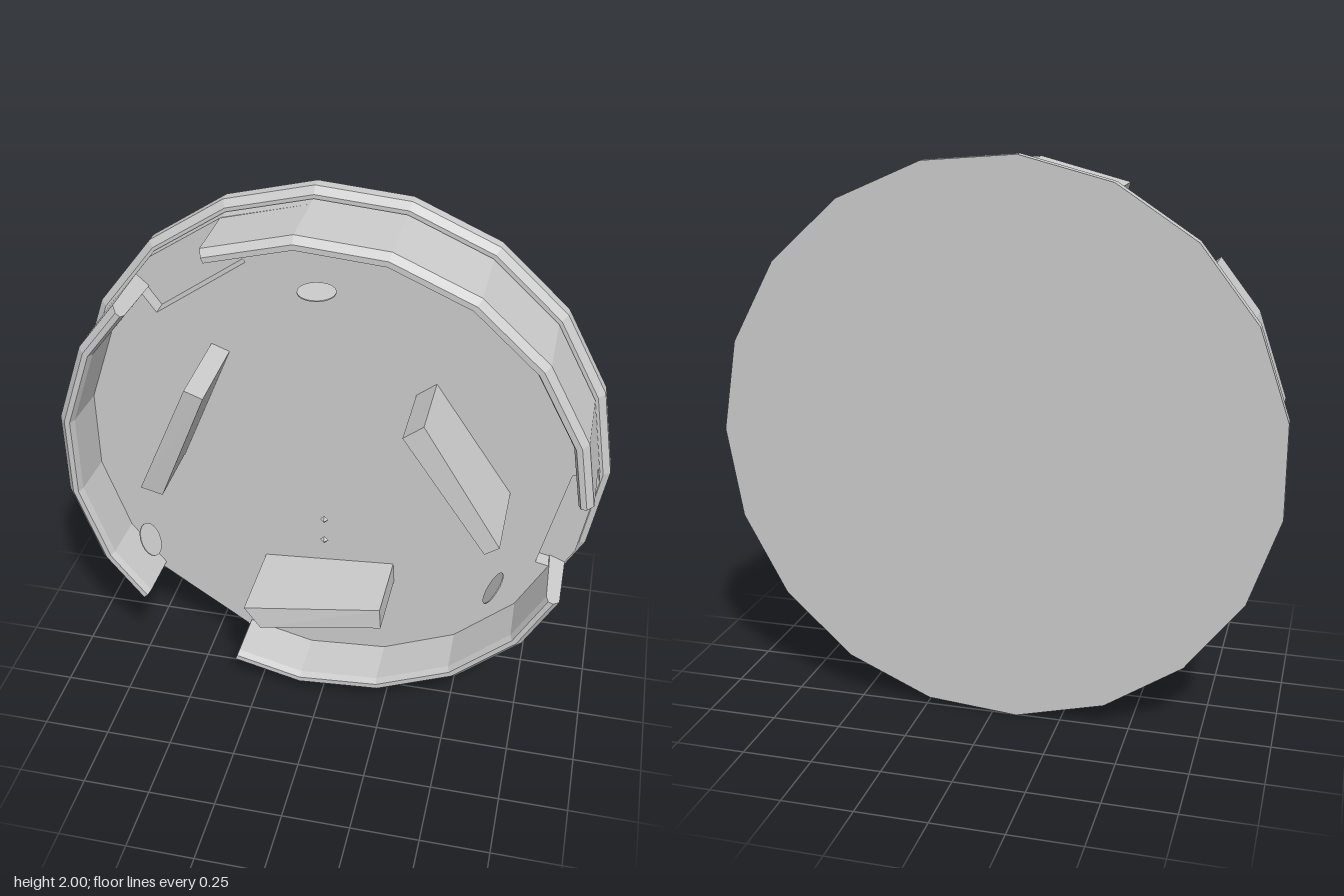
import * as THREE from 'three';
import { ConvexGeometry } from 'three/addons/geometries/ConvexGeometry.js';

const SIDES = 19, STEP = (Math.PI * 2) / SIDES, RAD = Math.PI / 180;
const CX = -0.007, CY = 1;

// Wall arcs in degrees, each followed by the inner corners of the notch after it
const ARCS = [
  { from: 4, to: 114, notch: [[-0.3, 1.76], [-0.63, 1.53]] },
  { from: 138, to: 222, notch: [[-0.68, 0.37], [-0.33, 0.13]] },
  { from: 249, to: 337, notch: [[0.77, 0.655], [0.865, 1.06]] },
];

// Point at an angle on the 19-sided outline
function onRim(r, a) {
  const local = (((a % STEP) + STEP) % STEP) - STEP / 2;
  const d = (r * Math.cos(STEP / 2)) / Math.cos(local);
  return [CX + d * Math.cos(a), CY + d * Math.sin(a)];
}

// Arc ends plus every polygon corner between them
function arcAngles({ from, to }) {
  const angles = [from * RAD];
  for (let k = 0; k < SIDES; k++) {
    if (k * STEP > from * RAD + 0.01 && k * STEP < to * RAD - 0.01) angles.push(k * STEP);
  }
  angles.push(to * RAD);
  return angles;
}

// Solid 19-sided disc from (radius, z) points
function disc(profile) {
  const pts = profile.map(([r, z]) => new THREE.Vector2(r, z));
  const g = new THREE.LatheGeometry(pts, SIDES, Math.PI / 2);
  g.rotateX(Math.PI / 2);
  return g.translate(CX, CY, 0);
}

// Convex wall section swept along an arc and capped
function wallArc(arc) {
  const section = [[0.968, -0.14], [0.968, 0.1], [0.945, 0.125], [0.925, 0.125], [0.915, 0.1], [0.905, -0.14]];
  const n = section.length, pos = [], idx = [];
  const angles = arcAngles(arc);
  for (const a of angles) for (const [r, z] of section) pos.push(...onRim(r, a), z);
  for (let i = 0; i < angles.length - 1; i++) {
    for (let j = 0; j < n; j++) {
      const a = i * n + j, b = i * n + ((j + 1) % n);
      idx.push(a, a + n, b + n, a, b + n, b);
    }
  }
  const last = (angles.length - 1) * n;
  for (let j = 1; j < n - 1; j++) {
    idx.push(0, j, j + 1, last, last + j + 1, last + j);
  }
  const g = new THREE.BufferGeometry();
  g.setAttribute('position', new THREE.Float32BufferAttribute(pos, 3));
  g.setIndex(idx);
  g.computeVertexNormals();
  return g;
}

// Raised floor with its outline cut back at the notches
function floorPlate() {
  const outline = [];
  for (const arc of ARCS) {
    for (const a of arcAngles(arc)) outline.push(onRim(0.935, a));
    outline.push(...arc.notch);
  }
  const shape = new THREE.Shape(outline.map(([x, y]) => new THREE.Vector2(x, y)));
  return new THREE.ExtrudeGeometry(shape, { depth: 0.07, bevelEnabled: false }).translate(0, 0, -0.145);
}

// Wedge-topped clip: the first two corners are the high end
function clip(corners) {
  const pts = [];
  corners.forEach(([x, y], i) => {
    pts.push(new THREE.Vector3(x, y, -0.08));
    pts.push(new THREE.Vector3(x, y, i < 2 ? 0.25 : 0.2));
  });
  return new ConvexGeometry(pts);
}

export function createModel() {
  const group = new THREE.Group();
  const material = new THREE.MeshStandardMaterial({ color: 0xcccccc, flatShading: true });
  const add = (name, geometry) => {
    const mesh = new THREE.Mesh(geometry, material);
    mesh.name = name;
    group.add(mesh);
    return mesh;
  };

  // Back plate with a chamfered front edge, and the base of the cup
  add('backPlate', disc([[0, -0.255], [1.003, -0.255], [1.003, -0.212], [0.978, -0.19], [0, -0.19]]));
  add('cupBase', disc([[0, -0.18], [0.968, -0.18], [0.968, -0.135], [0, -0.135]]));
  add('cupFloor', floorPlate());
  ARCS.forEach((arc, i) => add(`cupWall${i + 1}`, wallArc(arc)));

  // Three clips standing on the floor
  [
    [[-0.26, 0.51], [-0.2, 0.425], [0.245, 0.465], [0.24, 0.55]],
    [[0.655, 0.95], [0.605, 0.915], [0.3, 1.315], [0.37, 1.37]],
    [[-0.435, 1.43], [-0.37, 1.405], [-0.56, 0.945], [-0.64, 0.965]],
  ].forEach((corners, i) => add(`clip${i + 1}`, clip(corners)));

  // Thin floating discs facing the centre
  for (const deg of [90, 210, 330]) {
    const a = deg * RAD;
    const mesh = add('thinDisc', new THREE.CylinderGeometry(0.065, 0.065, 0.004, 20));
    mesh.position.set(-0.02 + 0.755 * Math.cos(a), CY + 0.755 * Math.sin(a), 0.07);
    mesh.rotation.z = a - Math.PI / 2;
  }

  // Two tiny studs
  for (const y of [0.765, 0.67]) {
    add('stud', new THREE.OctahedronGeometry(0.016)).position.set(-0.015, y, -0.015);
  }
  return group;
}
